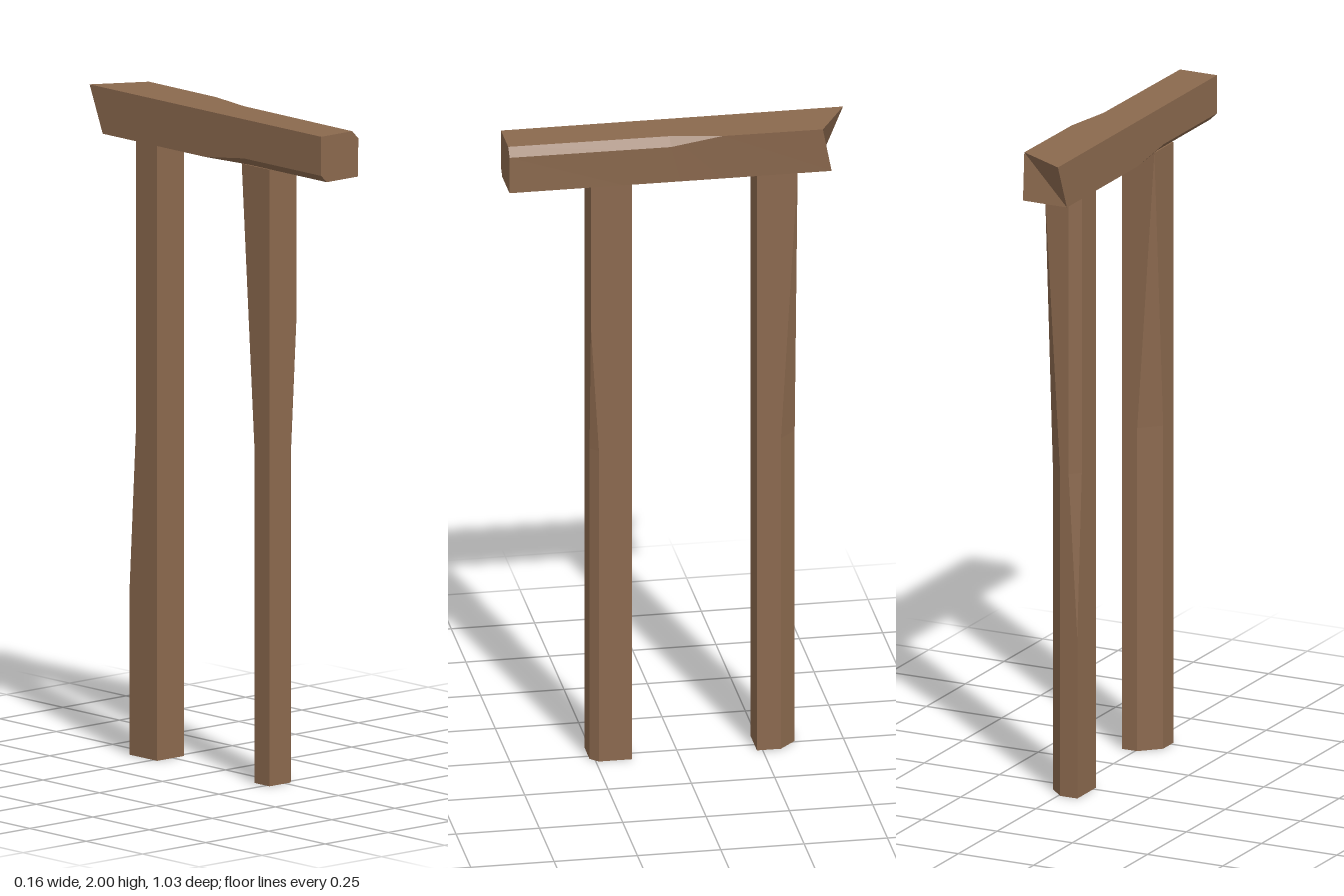
import * as THREE from 'three';

const V = (x, y, z) => new THREE.Vector3(x, y, z);

// Cut size that fades linearly from full (at position a) to nothing (at position b)
const fade = (t, a, b, size) => size * (1 - THREE.MathUtils.clamp((t - a) / (b - a), 0, 1));

// Four corners in order, each one bevelled by its own cut
function ring(corners, cuts) {
  return corners.flatMap((p, i) =>
    [corners[(i + 3) % 4], corners[(i + 1) % 4]].map((q) =>
      p.clone().add(q.clone().sub(p).setLength(cuts[i]))));
}

// Faceted solid through rings, with closed ends
function loft(rings) {
  const pos = [];
  const tri = (a, b, c) => {
    if (b.clone().sub(a).cross(c.clone().sub(a)).length() > 1e-8) {
      for (const p of [a, b, c]) pos.push(p.x, p.y, p.z);
    }
  };
  for (let i = 0; i + 1 < rings.length; i++) {
    const lo = rings[i], hi = rings[i + 1];
    for (let j = 0; j < lo.length; j++) {
      const k = (j + 1) % lo.length;
      tri(lo[j], lo[k], hi[k]);
      tri(lo[j], hi[k], hi[j]);
    }
  }
  const first = rings[0], last = rings[rings.length - 1];
  for (let j = 1; j + 1 < first.length; j++) {
    tri(first[0], first[j + 1], first[j]);
    tri(last[0], last[j], last[j + 1]);
  }
  const g = new THREE.BufferGeometry();
  g.setAttribute('position', new THREE.Float32BufferAttribute(pos, 3));
  g.computeVertexNormals();
  return g;
}

// Upright post; cutsAt(y) gives the bevels of its four corners
function postGeometry(zFront, zBack, cutsAt) {
  const x0 = -0.063, x1 = 0.044;
  return loft([0, 0.5, 1, 1.4, 1.86].map((y) => ring(
    [V(x1, y, zFront), V(x1, y, zBack), V(x0, y, zBack), V(x0, y, zFront)], cutsAt(y))));
}

// Crossbeam with a skewed back end and two hewn edges
function beamGeometry() {
  const y0 = 1.86, y1 = 2;
  const back = ring(
    [V(-0.08, y0, -0.455), V(0.067, y0, -0.453), V(0.077, y1, -0.425), V(-0.08, y1, -0.513)],
    [0, 0, 0, 0]);
  const sections = [-0.125, 0, 0.03, 0.17, 0.513].map((z) => {
    const t = (0.513 - z) / 0.94;
    const xBottom = 0.065 + 0.002 * t, xTop = 0.068 + 0.009 * t;
    return ring(
      [V(-0.08, y0, z), V(xBottom, y0, z), V(xTop, y1, z), V(-0.08, y1, z)],
      [fade(z, 0.17, 0, 0.022), 0, fade(z, 0.03, -0.125, 0.025), 0]);
  });
  return loft([back, ...sections]);
}

export function createModel() {
  const wood = new THREE.MeshStandardMaterial({ color: 0x8b694e, flatShading: true });
  wood.name = 'brown wood';
  const model = new THREE.Group();
  model.name = 'woodenFrame';
  const add = (name, geometry) => {
    const mesh = new THREE.Mesh(geometry, wood);
    mesh.name = name;
    model.add(mesh);
  };

  add('crossbeam', beamGeometry());
  add('frontPost', postGeometry(0.265, 0.142, (y) =>
    [fade(y, 1, 1.4, 0.024), 0, fade(y, 1, 1.86, 0.057), 0]));
  add('backPost', postGeometry(-0.233, -0.355, (y) =>
    [0, fade(y, 1, 1.86, 0.05), fade(y, 1, 0.5, 0.029), 0]));
  return model;
}
